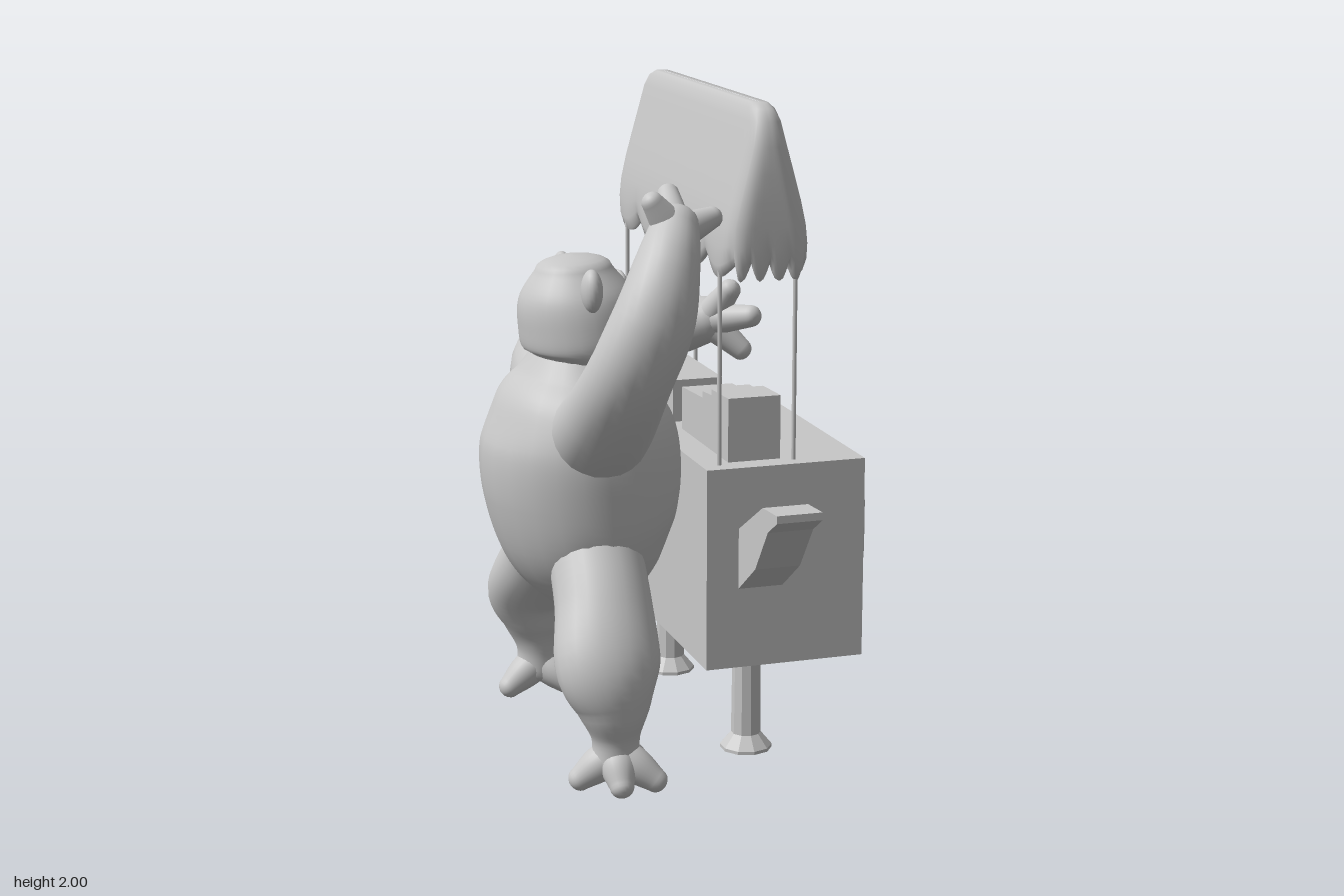
import * as THREE from 'three';

const V = (x, y, z) => new THREE.Vector3(x, y, z);
const MID = 0.22; // z of the animal's plane of symmetry

// Skin through closed rings of points
function skin(rows, flat = false) {
  const n = rows[0].length, pos = [], idx = [];
  rows.forEach(r => r.forEach(p => pos.push(p.x, p.y, p.z)));
  for (let i = 0; i < rows.length - 1; i++) {
    for (let j = 0; j < n; j++) {
      const a = i * n + j, b = i * n + (j + 1) % n;
      idx.push(a, b, a + n, b, b + n, a + n);
    }
  }
  let g = new THREE.BufferGeometry();
  g.setAttribute('position', new THREE.Float32BufferAttribute(pos, 3));
  g.setIndex(idx);
  if (flat) g = g.toNonIndexed();
  g.computeVertexNormals();
  return g;
}

// Soft limb through points [x, y, z, radius along ref, other radius], with domed ends
function limb(points, ref, cap = 0.9, seg = 24) {
  const path = new THREE.CatmullRomCurve3(points.map(p => V(p[0], p[1], p[2])), false, 'catmullrom');
  const radii = new THREE.CatmullRomCurve3(points.map(p => V(p[3], p[4] ?? p[3], 0)), false, 'catmullrom');
  const steps = (points.length - 1) * 6, rows = [];
  const ring = (t, shift, k) => {
    const T = path.getTangent(t), U = ref.clone().addScaledVector(T, -ref.dot(T)).normalize();
    const W = T.clone().cross(U), r = radii.getPoint(t);
    const c = path.getPoint(t).addScaledVector(T, shift * cap * Math.min(r.x, r.y));
    rows.push(Array.from({ length: seg }, (_, j) => {
      const q = j / seg * Math.PI * 2;
      return c.clone().addScaledVector(U, r.x * k * Math.cos(q)).addScaledVector(W, r.y * k * Math.sin(q));
    }));
  };
  for (let i = 0; i < 5; i++) { const q = i / 5 * Math.PI / 2; ring(0, -Math.cos(q), Math.sin(q) + 1e-4); }
  for (let i = 0; i <= steps; i++) ring(i / steps, 0, 1);
  for (let i = 1; i <= 5; i++) { const q = i / 5 * Math.PI / 2; ring(1, Math.sin(q), Math.cos(q) + 1e-4); }
  return skin(rows);
}

// Puffy awning with a scalloped hem and a recessed underside
function awning() {
  // y, half width x, half length z, scallop amount
  const profile = [[2, 0.001, 0.46, 0], [2, 0.022, 0.49, 0], [1.985, 0.035, 0.525, 0], [1.95, 0.047, 0.555, 0],
    [1.88, 0.065, 0.57, 0], [1.8, 0.086, 0.575, 0], [1.72, 0.107, 0.578, 0], [1.65, 0.123, 0.578, 0.05],
    [1.6, 0.129, 0.578, 0.3], [1.565, 0.128, 0.575, 0.7], [1.545, 0.12, 0.567, 1], [1.545, 0.108, 0.555, 1],
    [1.57, 0.1, 0.54, 0.5], [1.6, 0.09, 0.53, 0], [1.6, 0.001, 0.44, 0]];
  const edge = [], L = 60, E = 24;
  for (let i = 0; i < L; i++) edge.push([1, -1 + 2 * i / L, 5]);
  for (let i = 0; i < E; i++) edge.push([1 - 2 * i / E, 1, 4]);
  for (let i = 0; i < L; i++) edge.push([-1, 1 - 2 * i / L, 5]);
  for (let i = 0; i < E; i++) edge.push([-1 + 2 * i / E, -1, 4]);
  return skin(profile.map(([y, hx, hz, w]) => edge.map(([s, t, n]) => {
    const lobe = Math.abs(Math.sin((n === 5 ? t + 1 : s + 1) * n * Math.PI / 2));
    const r = Math.min(0.06, hx * 0.95);
    let x = hx * s, z = hz * t;
    const qx = THREE.MathUtils.clamp(x, r - hx, hx - r), qz = THREE.MathUtils.clamp(z, r - hz, hz - r);
    const d = Math.hypot(x - qx, z - qz) || 1;
    x = qx + (x - qx) / d * r;
    z = qz + (z - qz) / d * r;
    const puff = 1 + 0.06 * w * (lobe - 0.6);
    return V(0.125 + x * puff, y - 0.055 * w * lobe, z);
  })));
}

const polygon = pts => new THREE.Shape(pts.map(p => new THREE.Vector2(p[0], p[1])));
const extrude = (shape, depth) => new THREE.ExtrudeGeometry(shape, { depth, bevelEnabled: false });

// Faceted ring facing +x
function ring(sides) {
  const loop = r => Array.from({ length: sides }, (_, i) => {
    const q = (i / sides) * Math.PI * 2 + Math.PI / 2;
    return [r * Math.cos(q), r * Math.sin(q)];
  });
  const shape = polygon(loop(0.167));
  shape.holes.push(polygon(loop(0.142)));
  return extrude(shape, 0.022).rotateY(Math.PI / 2);
}

export function createModel() {
  const model = new THREE.Group();
  const grey = new THREE.MeshStandardMaterial({ color: 0xc8c8c8 });
  grey.name = 'light grey';
  const X = V(1, 0, 0), Y = V(0, 1, 0);
  const add = (name, geo, x = 0, y = 0, z = 0, parent = model) => {
    const m = new THREE.Mesh(geo, grey);
    m.name = name;
    m.position.set(x, y, z);
    parent.add(m);
    return m;
  };

  // Cart
  const cart = new THREE.Group();
  cart.name = 'cart';
  model.add(cart);
  add('cartBox', new THREE.BoxGeometry(0.5, 0.62, 1.045), 0.2, 0.615, 0, cart);
  for (const z of [0.4, -0.37]) {
    const foot = [[0, 0], [0.08, 0], [0.08, 0.01], [0.046, 0.05], [0.043, 0.31]].map(p => new THREE.Vector2(...p));
    add('cartLeg', new THREE.LatheGeometry(foot, 10).toNonIndexed(), 0.12, 0, z, cart).geometry.computeVertexNormals();
  }
  for (const x of [0.005, 0.24]) for (const z of [0.47, -0.47]) {
    add('pole', new THREE.CylinderGeometry(0.007, 0.007, 0.7, 8), x, 1.26, z, cart);
  }
  add('awning', awning(), 0, 0, 0, cart);

  // Goods on the counter
  const steps = polygon([[0.005, 0.92], [0.45, 0.92], [0.45, 1.12], [0.295, 1.115], [0.295, 1.097], [0.205, 1.09],
    [0.205, 1.07], [0.005, 1.06]]);
  add('steppedTray', extrude(steps, 0.165).rotateY(-Math.PI / 2), 0.205, 0, 0, cart);
  add('tray', new THREE.BoxGeometry(0.165, 0.14, 0.36), 0.122, 0.99, -0.27, cart);

  // Face of the cart: rings, beak and side wings
  add('eyeRing', ring(12), 0.448, 0.61, 0.31, cart);
  add('eyeRing', ring(8), 0.448, 0.61, -0.29, cart);
  // x, ridge y, upper side y, lower side y, keel y, half width
  const beak = [[0.44, 0.6, 0.6, 0.6, 0.6, 0.001], [0.44, 0.725, 0.65, 0.55, 0.53, 0.07],
    [0.57, 0.665, 0.645, 0.56, 0.55, 0.07], [0.657, 0.652, 0.645, 0.475, 0.46, 0.01], [0.657, 0.56, 0.56, 0.56, 0.56, 0.001]];
  add('beak', skin(beak.map(([x, a, b, c, d, w]) =>
    [V(x, a, 0), V(x, b, w), V(x, c, w), V(x, d, 0), V(x, c, -w), V(x, b, -w)]), true), 0, 0, 0.01, cart);
  const wing = polygon([[0.52, 0.55], [0.67, 0.655], [0.775, 0.795], [0.85, 0.842], [0.85, 0.865], [0.73, 0.858], [0.52, 0.737]]);
  add('leftWing', extrude(wing, 0.14).rotateY(-Math.PI / 2), 0.19, 0, 0, cart);
  add('rightWing', extrude(wing, 0.14).rotateY(Math.PI / 2), 0.05, 0, 0, cart);

  // Animal: torso and head
  const bear = new THREE.Group();
  bear.name = 'bear';
  model.add(bear);
  const part = (name, pts, ref, cap) => add(name, limb(pts, ref, cap), 0, 0, 0, bear);
  const upright = rows => rows.map(([y, x, a, b]) => [x, y, MID, a, b]);
  part('torso', upright([[0.48, -0.29, 0.11, 0.16], [0.57, -0.315, 0.2, 0.25], [0.7, -0.34, 0.268, 0.31], [0.85, -0.35, 0.3, 0.33],
    [1.0, -0.36, 0.293, 0.33], [1.11, -0.37, 0.24, 0.29], [1.19, -0.37, 0.17, 0.21], [1.26, -0.37, 0.12, 0.15]]), X, 0.3);
  part('head', upright([[1.21, -0.355, 0.135, 0.15], [1.26, -0.35, 0.172, 0.192], [1.33, -0.355, 0.18, 0.192],
    [1.42, -0.365, 0.17, 0.17], [1.5, -0.37, 0.115, 0.115]]), X, 0.33);
  part('snout', [[-0.28, 1.35, MID, 0.08, 0.09], [-0.2, 1.36, MID, 0.055, 0.068], [-0.135, 1.37, MID, 0.04, 0.053]], Y, 0.25);
  const ball = new THREE.SphereGeometry(1, 20, 14);
  for (const s of [1, -1]) {
    add('ear', ball, -0.36, 1.455, MID + s * 0.165, bear).scale.set(0.032, 0.065, 0.045);
    const eye = add('eye', ball, -0.218, 1.43, MID + s * 0.078, bear);
    eye.scale.set(0.02, 0.03, 0.03);
    const lid = add('eyelid', new THREE.TorusGeometry(0.034, 0.008, 8, 20).rotateY(Math.PI / 2), -0.212, 1.43, MID + s * 0.078, bear);
    lid.rotation.y = -s * 0.5;
    add('nostril', new THREE.TorusGeometry(0.014, 0.006, 8, 16).rotateY(Math.PI / 2), -0.125, 1.37, MID + s * 0.023, bear);
  }

  // Mouth with teeth
  const lips = add('lips', new THREE.TorusGeometry(0.08, 0.014, 8, 28).rotateY(Math.PI / 2), -0.182, 1.265, MID, bear);
  lips.scale.y = 0.45;
  for (let i = -3; i <= 3; i++) {
    const fang = Math.abs(i) === 2 ? 0.045 : 0.025;
    add('tooth', new THREE.ConeGeometry(0.01, fang, 8), -0.172, 1.24 + fang / 2, MID + i * 0.02, bear);
  }

  // Raised arm
  part('raisedArm', [[-0.36, 1.0, 0.38, 0.15, 0.16], [-0.36, 1.1, 0.54, 0.145, 0.13], [-0.335, 1.25, 0.67, 0.13, 0.11],
    [-0.27, 1.42, 0.7, 0.12, 0.105], [-0.215, 1.57, 0.655, 0.095, 0.095], [-0.17, 1.67, 0.59, 0.07, 0.07]], X);
  for (const tip of [[-0.245, 1.745, 0.61], [-0.155, 1.745, 0.475], [-0.05, 1.685, 0.56]]) {
    part('raisedFinger', [[-0.175, 1.65, 0.6, 0.055], [(tip[0] - 0.175) / 2, (tip[1] + 1.65) / 2, (tip[2] + 0.6) / 2, 0.045],
      [...tip, 0.032]], V(0.3, 0.2, 1));
  }

  // Reaching arm
  part('reachingArm', [[-0.36, 1.05, 0.05, 0.15, 0.15], [-0.34, 1.13, -0.14, 0.13, 0.13], [-0.22, 1.16, -0.3, 0.115, 0.13],
    [-0.05, 1.17, -0.345, 0.105, 0.125], [0.1, 1.19, -0.31, 0.1, 0.1], [0.21, 1.22, -0.24, 0.075, 0.08]], Y);
  for (const tip of [[0.25, 1.33, -0.15], [0.305, 1.25, -0.1], [0.3, 1.125, -0.18], [0.295, 1.2, -0.29]]) {
    part('reachingFinger', [[0.2, 1.22, -0.23, 0.055], [(tip[0] + 0.2) / 2, (tip[1] + 1.22) / 2, (tip[2] - 0.23) / 2, 0.045],
      [...tip, 0.035]], V(0.3, 0.2, 1));
  }

  // Legs and clawed feet, mirrored about the animal's own plane
  for (const s of [1, -1]) {
    const z = d => MID + s * d;
    part('leg', [[-0.36, 0.68, z(0.17), 0.14, 0.14], [-0.37, 0.54, z(0.3), 0.145, 0.13], [-0.39, 0.39, z(0.415), 0.157, 0.11],
      [-0.38, 0.27, z(0.44), 0.11, 0.09], [-0.375, 0.18, z(0.44), 0.072, 0.065], [-0.375, 0.1, z(0.44), 0.075, 0.065]], X, 0.6);
    for (const [x, d] of [[-0.275, 0.36], [-0.27, 0.5], [-0.48, 0.42], [-0.38, 0.52]]) {
      part('toe', [[-0.375, 0.13, z(0.44), 0.055], [(x - 0.375) / 2, 0.095, z((d + 0.44) / 2), 0.053], [x, 0.055, z(d), 0.036]], Y);
    }
  }
  return model;
}
